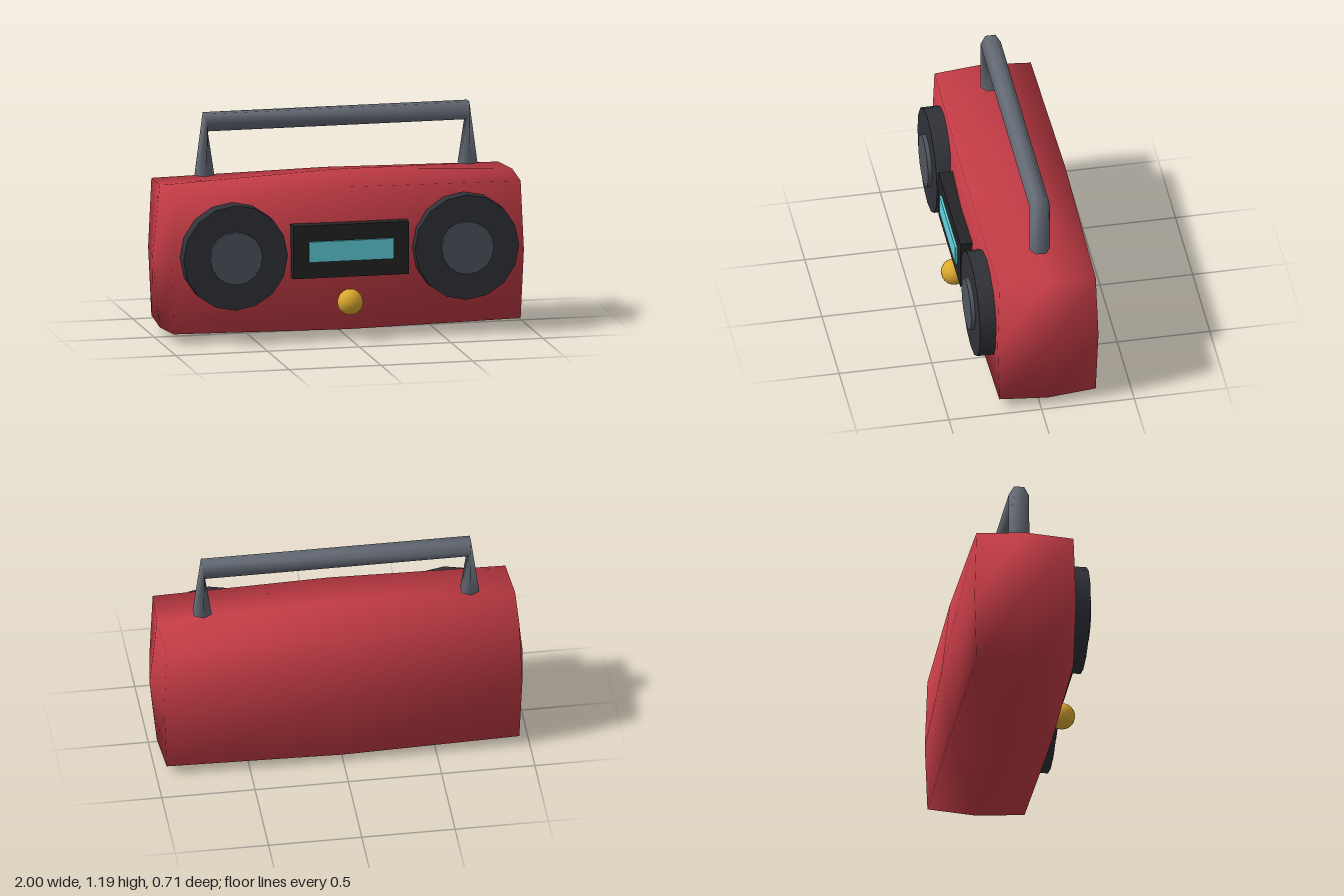
import * as THREE from 'three';
import { mergeVertices } from 'three/addons/utils/BufferGeometryUtils.js';

const RED = 0xc23b45, STEEL = 0x646a75, CHARCOAL = 0x303238, GREY = 0x50555f;
const BLACK = 0x242426, CYAN = 0x62d2de, GOLD = 0xdca92f;
const MID_Z = -0.042;

function part(parent, name, geometry, color, x = 0, y = 0, z = 0) {
  const mesh = new THREE.Mesh(geometry, new THREE.MeshStandardMaterial({ color }));
  mesh.name = name;
  mesh.position.set(x, y, z);
  parent.add(mesh);
  return mesh;
}

// Box whose face centres bulge out and whose corners draw in, shaded smooth
function pillowGeometry() {
  const box = new THREE.BoxGeometry(2, 2, 2, 2, 2, 2);
  box.deleteAttribute('uv');
  box.deleteAttribute('normal');
  const geometry = mergeVertices(box);
  const p = geometry.attributes.position;
  // half sizes at face centres, edge middles and corners
  const half = [[1, 0.428, 0.314], [0.96, 0.385, 0.272], [0.945, 0.372, 0.26]];
  for (let i = 0; i < p.count; i++) {
    const v = [p.getX(i), p.getY(i), p.getZ(i)].map(Math.round);
    const h = half[v.filter((c) => c !== 0).length - 1];
    p.setXYZ(i, v[0] * h[0], v[1] * h[1], v[2] * h[2]);
  }
  geometry.computeVertexNormals();
  return geometry;
}

// Six-sided bar swept up one leg, across and down the other
function handleGeometry(r) {
  const sides = 6;
  // ring centre (x, y) and outward direction of the ring
  const rings = [
    [-0.717, 0.86, -1, 0], [-0.713, 1.147, -0.155, 0.988],
    [0.713, 1.147, 0.155, 0.988], [0.717, 0.86, 1, 0],
  ];
  const points = [], index = [];
  rings.forEach(([x, y, ux, uy], k) => {
    for (let j = 0; j < sides; j++) {
      const a = (j / sides) * Math.PI * 2, s = r * Math.sin(a);
      points.push(x + ux * s, y + uy * s, r * Math.cos(a));
      if (k === rings.length - 1) continue;
      const a0 = k * sides + j, a1 = k * sides + ((j + 1) % sides);
      index.push(a0, a0 + sides, a1, a1, a0 + sides, a1 + sides);
    }
  });
  const geometry = new THREE.BufferGeometry();
  geometry.setAttribute('position', new THREE.Float32BufferAttribute(points, 3));
  geometry.setIndex(index);
  geometry.computeVertexNormals();
  return geometry;
}

export function createModel() {
  const model = new THREE.Group();
  model.name = 'portableStereo';

  part(model, 'body', pillowGeometry(), RED, 0, 0.43, MID_Z);

  // Speakers
  const disc = (r, depth) => new THREE.CylinderGeometry(r, r, depth, 16).rotateX(Math.PI / 2);
  for (const side of [-1, 1]) {
    const speaker = new THREE.Group();
    speaker.name = side > 0 ? 'leftSpeaker' : 'rightSpeaker';
    speaker.position.set(side * 0.63, 0.475, 0);
    part(speaker, 'speakerRim', disc(0.284, 0.1), CHARCOAL, 0, 0, 0.265);
    part(speaker, 'speakerCone', disc(0.142, 0.06), GREY, 0, 0, 0.307);
    model.add(speaker);
  }

  // Display and knob
  part(model, 'displayPanel', new THREE.BoxGeometry(0.63, 0.285, 0.09), BLACK, 0, 0.488, 0.267);
  part(model, 'displayScreen', new THREE.BoxGeometry(0.46, 0.11, 0.03), CYAN, 0, 0.489, 0.309);
  part(model, 'knob', new THREE.SphereGeometry(0.07, 14, 10), GOLD, 0, 0.204, 0.288);

  // Carrying handle with closed feet
  const handle = new THREE.Group();
  handle.name = 'handle';
  handle.position.z = MID_Z;
  part(handle, 'handleBar', handleGeometry(0.055), STEEL);
  for (const side of [-1, 1]) {
    const foot = new THREE.CircleGeometry(0.055, 6).rotateX(Math.PI / 2).rotateY(Math.PI / 2);
    part(handle, 'handleFoot', foot, STEEL, side * 0.717, 0.86, 0);
  }
  model.add(handle);

  return model;
}
